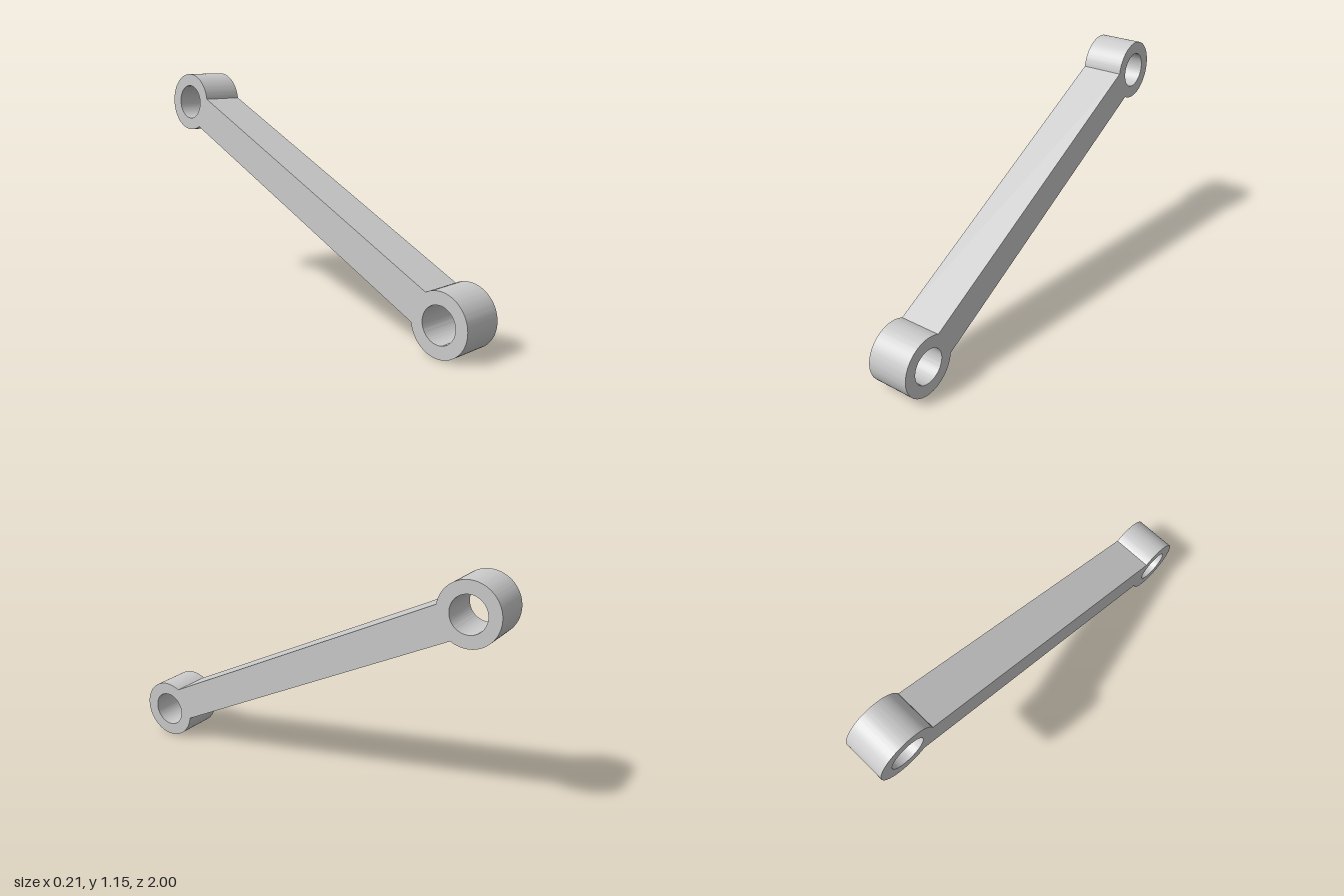
import * as THREE from 'three';
import { toCreasedNormals } from 'three/addons/utils/BufferGeometryUtils.js';

const R = 0.148;          // outer radius of the end eyes
const BORE = 0.087;       // radius of the through holes
const HALF_BAR = 0.083;   // half height of the bar
const WIDTH = 0.21;       // thickness along x
const EYE_Z = 1 - R;      // eye centres at z = +/-EYE_Z
const RISE = 0.852;       // height difference between the eyes

export function createModel() {
  const group = new THREE.Group();
  const half = Math.hypot(EYE_Z, RISE / 2);
  const a = Math.asin(HALF_BAR / R);

  // Outline: two round eyes joined by a straight bar
  const outline = new THREE.Shape();
  outline.absarc(half, 0, R, a - Math.PI, Math.PI - a, false);
  outline.absarc(-half, 0, R, a, 2 * Math.PI - a, false);
  outline.closePath();

  // Bores through both eyes
  for (const x of [-half, half]) {
    outline.holes.push(new THREE.Path().absarc(x, 0, BORE, 0, 2 * Math.PI, true));
  }

  // Extrude, tilt upward to the back, and turn the thickness along x
  const extruded = new THREE.ExtrudeGeometry(outline, {
    depth: WIDTH, bevelEnabled: false, curveSegments: 48,
  });
  extruded.translate(0, 0, -WIDTH / 2);
  extruded.rotateZ(Math.atan2(RISE / 2, EYE_Z));
  extruded.rotateY(Math.PI / 2);
  extruded.translate(0, R + RISE / 2, 0);

  const link = new THREE.Mesh(
    toCreasedNormals(extruded, Math.PI / 6),
    new THREE.MeshStandardMaterial({ color: 0xcccccc }),
  );
  link.name = 'linkArm';
  group.add(link);
  return group;
}
